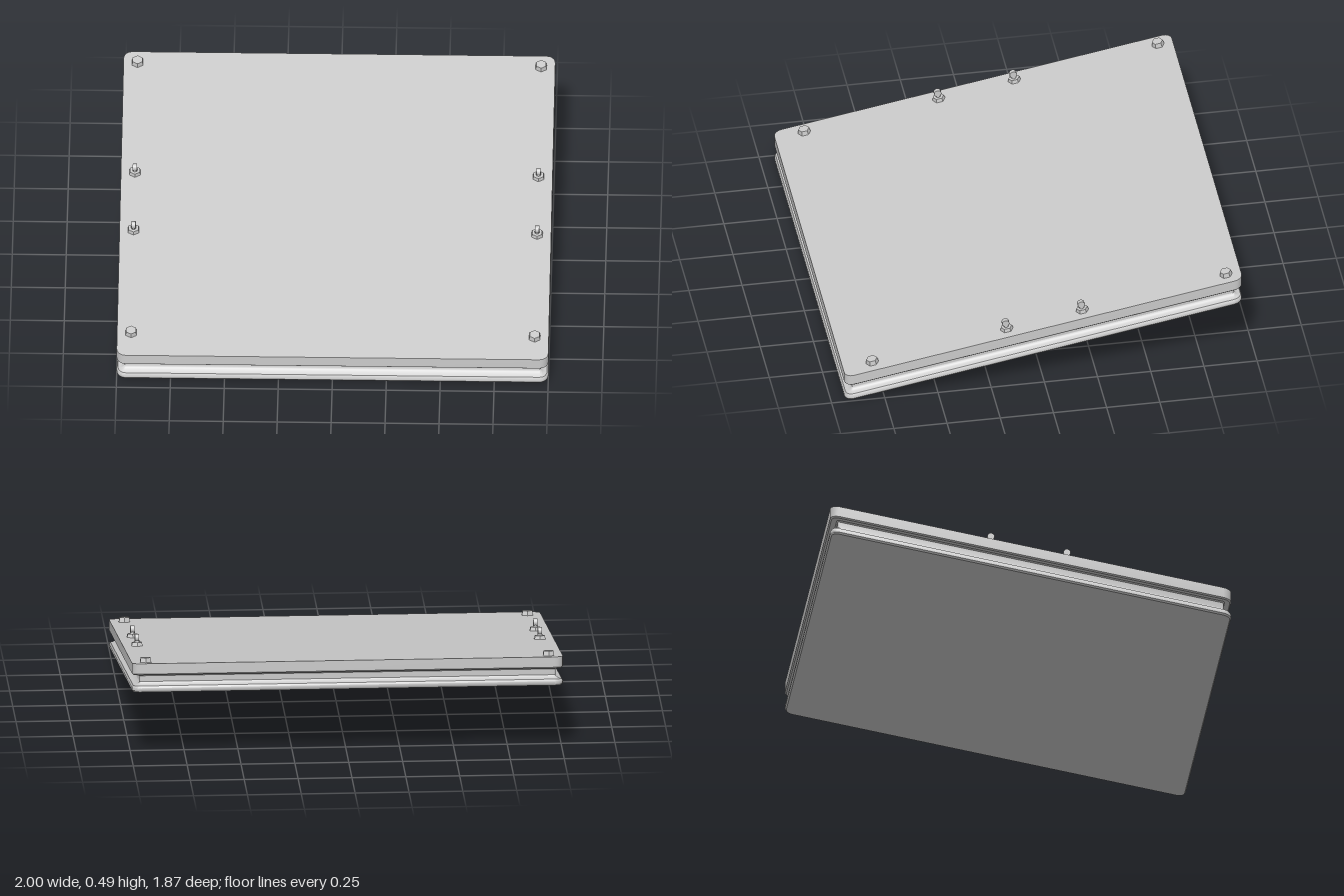
import * as THREE from 'three';
import { toCreasedNormals } from 'three/addons/utils/BufferGeometryUtils.js';

const SLOPE = 0.18, HALF_X = 1, HALF_Z = 0.934, TOP = 0.138;
const rise = z => SLOPE * (HALF_Z - z);

// Rounded rectangle outline, counter-clockwise seen from above
function outline(inset) {
  const r = Math.max(0.04 - inset, 0.008), pts = [], seg = 4;
  const cx = HALF_X - inset - r, cz = HALF_Z - inset - r;
  [[1, 1], [-1, 1], [-1, -1], [1, -1]].forEach(([sx, sz], c) => {
    for (let i = 0; i <= seg; i++) {
      const a = (c + i / seg) * Math.PI / 2;
      pts.push([sx * cx + r * Math.cos(a), sz * cz + r * Math.sin(a)]);
    }
  });
  return pts;
}

// Lofts [inset, height] rings and shears them along the slope
function slab(profile) {
  const pos = [], idx = [];
  const n = outline(0).length;
  for (const [inset, y] of profile)
    for (const [x, z] of outline(inset)) pos.push(x, y + rise(z), z);
  for (let k = 0; k < profile.length - 1; k++)
    for (let i = 0; i < n; i++) {
      const a = k * n + i, b = k * n + (i + 1) % n;
      idx.push(a, a + n, b, b, a + n, b + n);
    }
  // Closing caps
  const last = profile.length - 1, c = pos.length / 3;
  pos.push(0, profile[0][1] + rise(0), 0, 0, profile[last][1] + rise(0), 0);
  for (let i = 0; i < n; i++) {
    const j = (i + 1) % n;
    idx.push(c, i, j, c + 1, last * n + j, last * n + i);
  }
  const g = new THREE.BufferGeometry();
  g.setAttribute('position', new THREE.Float32BufferAttribute(pos, 3));
  g.setIndex(idx);
  return toCreasedNormals(g, 0.6);
}

export function createModel() {
  const model = new THREE.Group();
  const mat = new THREE.MeshStandardMaterial({ color: 0xcccccc });
  const flat = new THREE.MeshStandardMaterial({ color: 0xcccccc, flatShading: true });
  const add = (parent, name, geo, m, y = 0) => {
    const mesh = new THREE.Mesh(geo, m);
    mesh.name = name;
    mesh.position.y = y;
    parent.add(mesh);
    return mesh;
  };

  // Base plate with rounded lip, recessed waist and overhanging top plate
  add(model, 'slopedPanel', slab([
    [0.006, 0], [0, 0.008], [0, 0.02], [0.006, 0.03], [0.02, 0.034], [0.03, 0.04],
    [0.035, 0.048], [0.035, 0.076], [0.03, 0.082], [0.006, 0.082], [0, 0.088], [0, TOP],
  ]), mat);

  // Low hex bolts at the corners, knobbed studs along the sides
  const hex = new THREE.CylinderGeometry(0.026, 0.03, 0.024, 6);
  const flange = new THREE.CylinderGeometry(0.026, 0.03, 0.018, 6);
  const neck = new THREE.CylinderGeometry(0.01, 0.012, 0.024, 8);
  const knob = new THREE.CylinderGeometry(0.017, 0.017, 0.02, 12).rotateZ(Math.PI / 2);
  for (const x of [-0.935, 0.935])
    for (const [z, stud] of [[-0.865, false], [-0.19, true], [0.165, true], [0.797, false]]) {
      const g = new THREE.Group();
      g.name = stud ? 'sideStud' : 'cornerBolt';
      g.position.set(x, TOP + rise(z), z);
      g.rotation.x = Math.atan(SLOPE);
      if (stud) {
        add(g, 'studFlange', flange, flat, 0.008);
        add(g, 'studNeck', neck, mat, 0.026);
        add(g, 'studKnob', knob, mat, 0.038);
      } else add(g, 'boltHead', hex, flat, 0.01);
      model.add(g);
    }
  return model;
}
